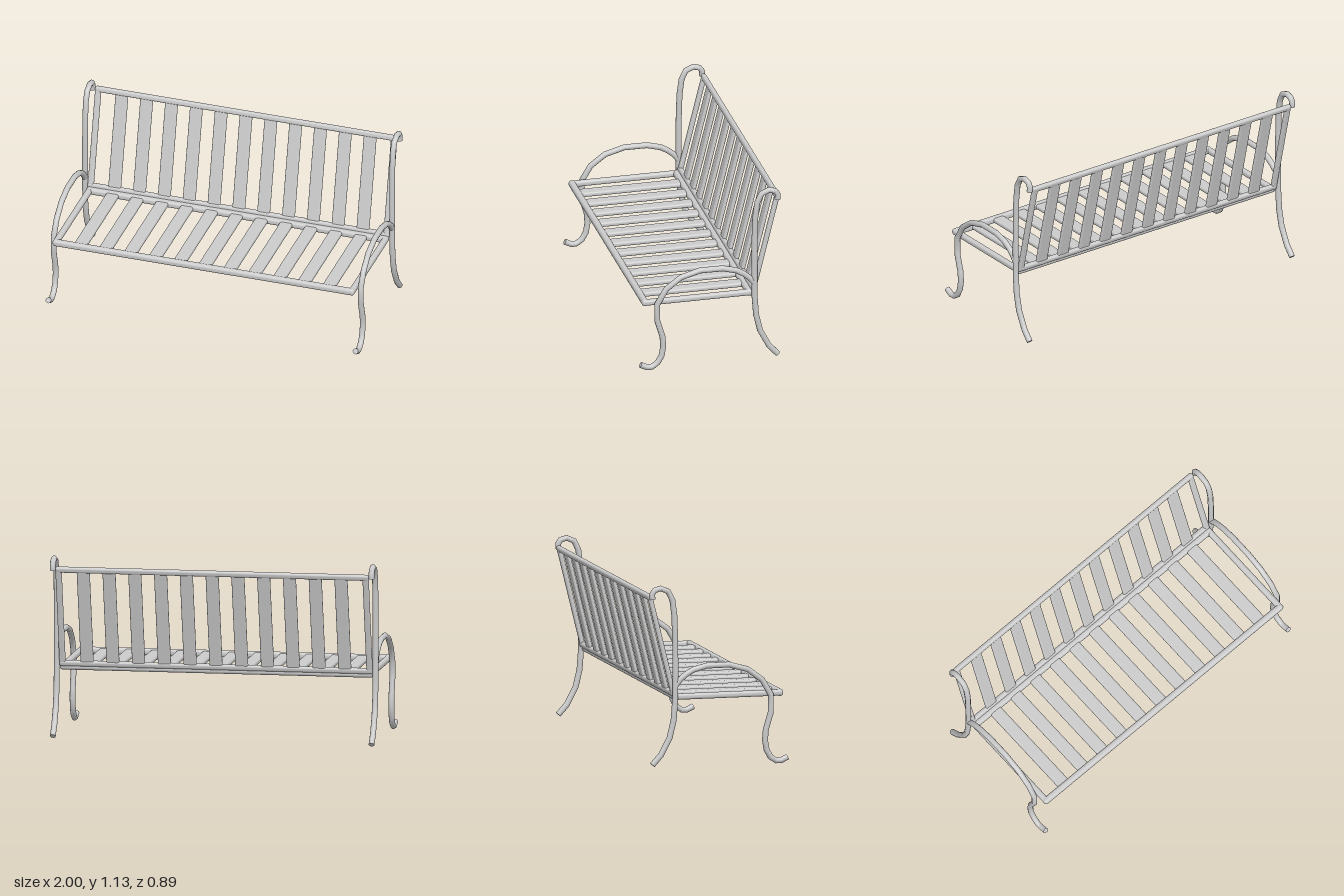
import * as THREE from 'three';
import { RoundedBoxGeometry } from 'three/addons/geometries/RoundedBoxGeometry.js';

const metal = new THREE.MeshStandardMaterial({ color: 0xcccccc });
const TUBE_R = 0.018;

// Straight-segmented path with mitred tangents at each bend
class BentPath extends THREE.Curve {
  constructor(points) {
    super();
    this.points = points;
  }
  getPointAt(u) {
    const n = this.points.length - 1;
    const i = Math.min(Math.floor(u * n + 1e-6), n - 1);
    return this.points[i].clone().lerp(this.points[i + 1], u * n - i);
  }
  getTangentAt(u) {
    const p = this.points, n = p.length - 1, i = Math.round(u * n);
    const t = new THREE.Vector3();
    if (i > 0) t.add(p[i].clone().sub(p[i - 1]).normalize());
    if (i < n) t.add(p[i + 1].clone().sub(p[i]).normalize());
    return t.normalize();
  }
}

// Bent tube with closed ends, from [z, y] pairs
function bentTube(name, x, zy) {
  const group = new THREE.Group();
  group.name = name;
  const path = new BentPath(zy.map(([z, y]) => new THREE.Vector3(x, y, z)));
  group.add(new THREE.Mesh(new THREE.TubeGeometry(path, zy.length - 1, TUBE_R, 10), metal));
  for (const u of [0, 1]) {
    const cap = new THREE.Mesh(new THREE.CircleGeometry(TUBE_R, 10), metal);
    const out = path.getTangentAt(u).multiplyScalar(u ? 1 : -1);
    cap.position.copy(path.getPointAt(u));
    cap.quaternion.setFromUnitVectors(new THREE.Vector3(0, 0, 1), out);
    group.add(cap);
  }
  return group;
}

function bar(name, w, h, d, x, y) {
  const radius = Math.min(w, h, d) * 0.42;
  const mesh = new THREE.Mesh(new RoundedBoxGeometry(w, h, d, 3, radius), metal);
  mesh.name = name;
  mesh.position.set(x, y, 0);
  return mesh;
}

// Slatted panel rising along +y from its hinge line, thickness along z
function slatPanel(name, length, depth, nearRail, farRail) {
  const panel = new THREE.Group();
  panel.name = name;
  const width = 1.93, side = 0.038;
  panel.add(
    bar('nearRail', width, nearRail, depth, 0, nearRail / 2),
    bar('farRail', width, farRail, depth, 0, length - farRail / 2)
  );
  for (const s of [-1, 1]) {
    panel.add(bar('sideRail', side, length, depth * 0.9, s * (width - side) / 2, length / 2));
  }
  const slatLength = length - (nearRail + farRail) / 2;
  for (let i = -5; i <= 5; i++) {
    panel.add(bar('slat', 0.08, slatLength, depth * 0.7, i * 0.1588, nearRail / 2 + slatLength / 2));
  }
  return panel;
}

export function createModel() {
  const bench = new THREE.Group();
  bench.name = 'bench';

  // Seat, dipping slightly towards the front
  const seat = slatPanel('seat', 0.7, 0.042, 0.05, 0.04);
  seat.position.set(0, 0.438, -0.285);
  seat.rotation.x = Math.PI / 2 + 0.008;
  bench.add(seat);

  // Reclined backrest
  const back = slatPanel('backrest', 0.65, 0.032, 0.035, 0.036);
  back.position.set(0, 0.443, -0.278);
  back.rotation.x = -Math.atan2(0.155, 0.63);
  bench.add(back);

  // Rear leg, post and hooked top in one tube
  const post = [
    [-0.425, 0.03], [-0.37, 0.09], [-0.315, 0.195], [-0.29, 0.3], [-0.28, 0.43],
    [-0.279, 0.6], [-0.28, 0.78], [-0.285, 0.94], [-0.298, 1.04], [-0.325, 1.095],
    [-0.372, 1.115], [-0.41, 1.105], [-0.426, 1.082], [-0.424, 1.05]
  ];
  // Armrest curving down into the scrolled front leg
  const arm = [
    [-0.28, 0.51], [-0.25, 0.548], [-0.21, 0.58], [-0.165, 0.605], [-0.08, 0.626],
    [0.06, 0.626], [0.18, 0.592], [0.27, 0.525], [0.327, 0.43], [0.327, 0.32],
    [0.295, 0.215], [0.29, 0.15], [0.3, 0.09], [0.325, 0.045], [0.36, 0.021],
    [0.39, 0.02], [0.432, 0.04]
  ];
  for (const x of [-0.982, 0.982]) {
    const side = x > 0 ? 'left' : 'right';
    bench.add(bentTube(side + 'BackPost', x, post));
    bench.add(bentTube(side + 'ArmAndFrontLeg', x, arm));
  }
  return bench;
}
